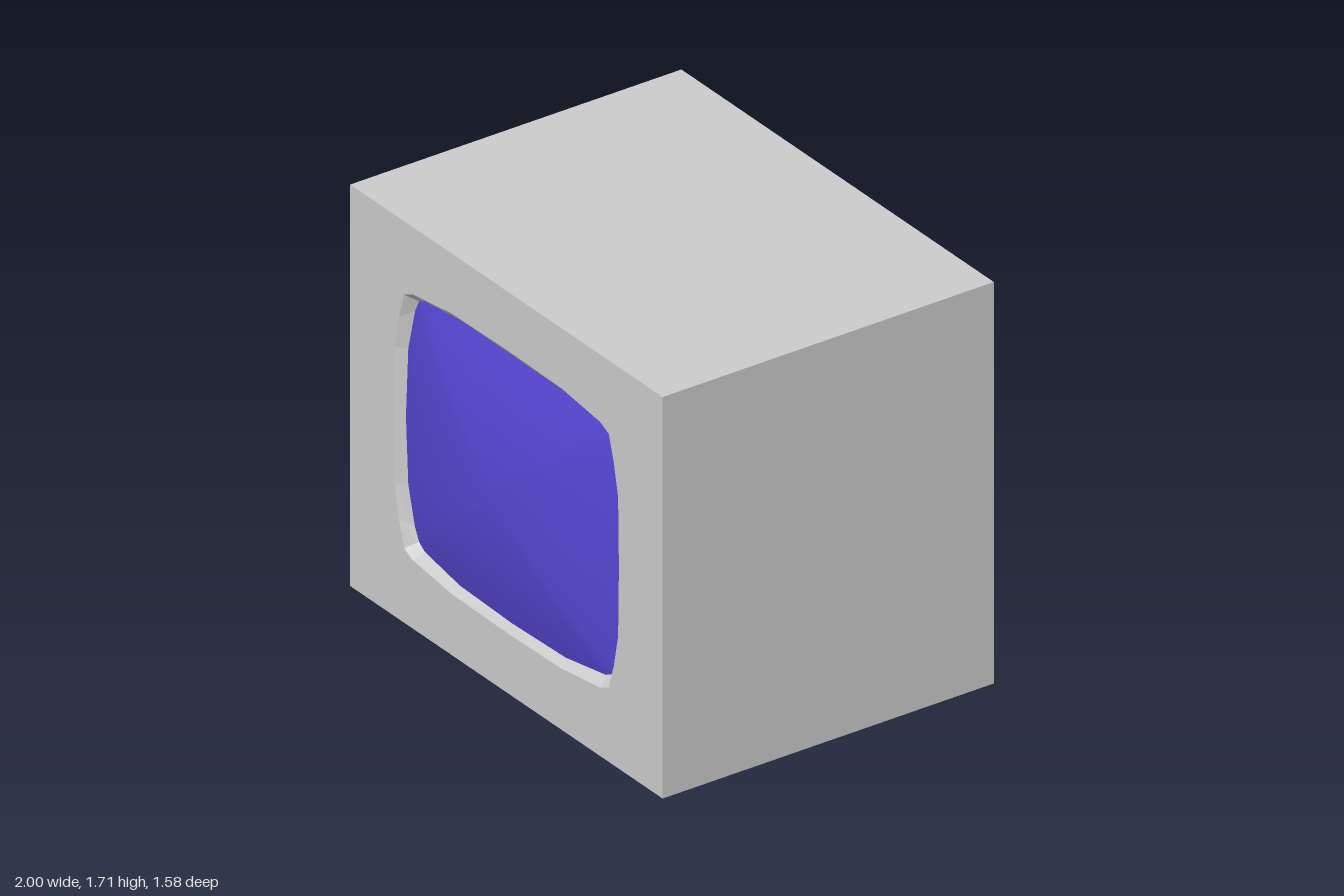
import * as THREE from 'three';

const W = 2, H = 1.71, BACK = -0.79, FRONT = 0.725, CY = 0.857;

// Quarter outlines, top centre to right centre: [x, y, z] about the screen centre
const OPENING = [[0, 0.602], [0.35, 0.597], [0.6, 0.566], [0.655, 0.54], [0.688, 0.43], [0.715, 0.295], [0.72, 0]]
  .map(([x, y]) => [x, y, FRONT]);
const RIM = [[0, 0.571, 0.7], [0.34, 0.566, 0.695], [0.58, 0.533, 0.685], [0.622, 0.512, 0.68],
  [0.645, 0.46, 0.682], [0.677, 0.29, 0.69], [0.685, 0, 0.695]];

// Mirror a quarter outline into a closed clockwise loop
function fullLoop(q) {
  const flip = (list, sx, sy) => list.map(([x, y, z]) => [x * sx, y * sy, z]);
  const rev = [...q].reverse();
  return [
    ...q.slice(0, -1),
    ...flip(rev.slice(0, -1), 1, -1),
    ...flip(q.slice(0, -1), -1, -1),
    ...flip(rev.slice(0, -1), -1, 1),
  ];
}

// Join equal-length clockwise loops, outermost first, into a front-facing surface
function loft(loops) {
  const n = loops[0].length, index = [];
  for (let r = 0; r < loops.length - 1; r++) {
    for (let i = 0; i < n; i++) {
      const a = r * n + i, b = r * n + (i + 1) % n;
      index.push(a, a + n, b, b, a + n, b + n);
    }
  }
  const g = new THREE.BufferGeometry();
  g.setAttribute('position', new THREE.Float32BufferAttribute(loops.flat(2), 3));
  g.setIndex(index);
  return g;
}

export function createModel() {
  const group = new THREE.Group();
  const grey = new THREE.MeshStandardMaterial({ color: 0xcccccc, side: THREE.DoubleSide });
  const bezelMat = new THREE.MeshStandardMaterial({ color: 0xcccccc, side: THREE.DoubleSide, flatShading: true });
  const blue = new THREE.MeshStandardMaterial({ color: 0x5546d2, side: THREE.DoubleSide });

  const add = (name, geometry, material) => {
    const mesh = new THREE.Mesh(geometry, material);
    mesh.name = name;
    group.add(mesh);
    return mesh;
  };

  // Thin cabinet walls; the back is open
  const depth = FRONT - BACK, midZ = (FRONT + BACK) / 2;
  for (const s of [1, -1]) {
    const side = add(s > 0 ? 'leftWall' : 'rightWall', new THREE.PlaneGeometry(depth, H), grey);
    side.rotation.y = s * Math.PI / 2;
    side.position.set(s * W / 2, H / 2, midZ);
    const level = add(s > 0 ? 'topWall' : 'bottomWall', new THREE.PlaneGeometry(W, depth), grey);
    level.rotation.x = -s * Math.PI / 2;
    level.position.set(0, s > 0 ? H : 0, midZ);
  }

  // Front panel with the screen opening
  const opening = fullLoop(OPENING), rim = fullLoop(RIM);
  const panel = new THREE.Shape([[-1, 0], [1, 0], [1, H], [-1, H]].map(([x, y]) => new THREE.Vector2(x * W / 2, y)));
  panel.holes.push(new THREE.Path(opening.map(([x, y]) => new THREE.Vector2(x, y + CY))));
  add('frontPanel', new THREE.ShapeGeometry(panel), grey).position.z = FRONT;

  // Sloping bezel from the panel down to the screen
  const bezel = loft([opening, rim]);
  bezel.computeVertexNormals();
  add('bezel', bezel, bezelMat).position.y = CY;

  // Bulging screen: rings shrink towards the centre along a parabola
  const peak = 0.79, rings = [];
  for (let k = 0; k <= 10; k++) {
    const t = Math.max(1 - k / 10, 0.001);
    rings.push(rim.map(([x, y, z]) => [x * t, y * t, peak - (peak - z) * t * t]));
  }
  const screen = loft(rings);
  screen.computeVertexNormals();
  add('screen', screen, blue).position.y = CY;

  return group;
}
